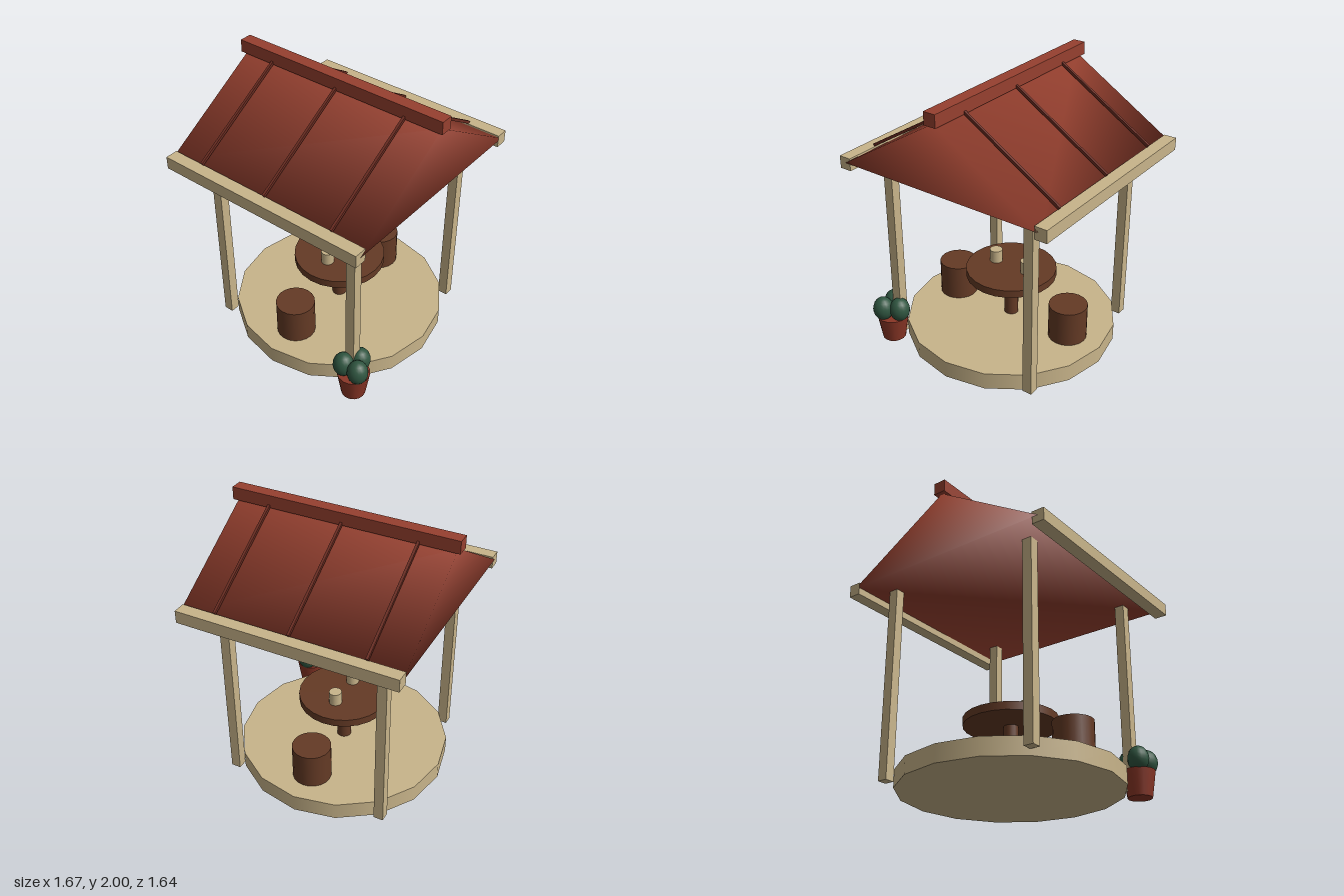
import * as THREE from 'three';

const mat = (color) => new THREE.MeshStandardMaterial({ color });

export function createModel() {
  const model = new THREE.Group();
  const sand = mat(0xc8b48a), red = mat(0x96402f), darkRed = mat(0x6b2c21);
  const wood = mat(0x643a25), clay = mat(0x8a3626), green = mat(0x2f5540);

  const add = (name, geometry, material, x, y, z, parent = model) => {
    const mesh = new THREE.Mesh(geometry, material);
    mesh.name = name;
    mesh.position.set(x, y, z);
    parent.add(mesh);
    return mesh;
  };
  // Upright round part between two heights
  const round = (name, rTop, rBottom, y0, y1, sides, material, x = 0, z = 0, parent = model) =>
    add(name, new THREE.CylinderGeometry(rTop, rBottom, y1 - y0, sides), material, x, (y0 + y1) / 2, z, parent);

  // Floor
  round('floorPlatform', 0.77, 0.77, 0, 0.125, 16, sand);

  // Table and cups
  round('tableLeg', 0.052, 0.052, 0.002, 0.46, 16, wood);
  round('tableTop', 0.33, 0.33, 0.46, 0.517, 24, wood);

  for (const side of [-1, 1]) {
    round('cup', 0.046, 0.046, 0.517, 0.612, 16, sand, side * 0.137);
    round('stool', 0.139, 0.139, 0.002, 0.388, 20, wood, side * 0.5);
    // Corner posts
    for (const end of [-1, 1]) {
      add('post', new THREE.BoxGeometry(0.07, 1.4, 0.07), sand, side * 0.58, 0.74, end * 0.58);
    }
    // Eave beams
    add('eaveBeam', new THREE.BoxGeometry(0.09, 0.09, 1.58), sand, side * 0.79, 1.43, 0);
  }

  // Roof: closed gable prism with shared corners, shaded smoothly
  const half = 0.79, eaveY = 1.435, apexY = 1.92;
  const corners = [];
  for (const z of [half, -half]) corners.push(-half, eaveY, z, half, eaveY, z, 0, apexY, z);
  const prism = new THREE.BufferGeometry();
  prism.setAttribute('position', new THREE.Float32BufferAttribute(corners, 3));
  prism.setIndex([
    0, 1, 2, 4, 3, 5, // gables
    1, 4, 5, 1, 5, 2, // left slope
    3, 0, 2, 3, 2, 5, // right slope
    0, 3, 4, 0, 4, 1, // underside
  ]);
  prism.computeVertexNormals();
  add('roof', prism, red, 0, 0, 0);
  add('ridgeBeam', new THREE.BoxGeometry(0.09, 0.09, 1.64), red, 0, 1.955, 0);

  // Roof battens, floating just above each slope
  const slope = (apexY - eaveY) / half;
  const angle = Math.atan(slope);
  const run = 0.755, lift = 0.027;
  for (const side of [-1, 1]) {
    for (const z of [-0.54, 0, 0.54]) {
      const batten = add('roofBatten', new THREE.BoxGeometry(run / Math.cos(angle), 0.02, 0.018), darkRed,
        side * run / 2, apexY - slope * run / 2 + lift, z);
      batten.rotation.z = -side * angle;
    }
  }

  // Potted plant
  const plant = new THREE.Group();
  plant.name = 'pottedPlant';
  plant.position.set(-0.62, 0, 0.62);
  model.add(plant);
  round('pot', 0.115, 0.085, 0, 0.187, 16, clay, 0, 0, plant);
  for (let i = 0; i < 3; i++) {
    const a = i * Math.PI * 2 / 3;
    const leaf = add('leafClump', new THREE.SphereGeometry(1, 16, 12), green,
      Math.cos(a) * 0.07, 0.255, Math.sin(a) * 0.07, plant);
    leaf.scale.set(0.074, 0.09, 0.074);
  }

  return model;
}
